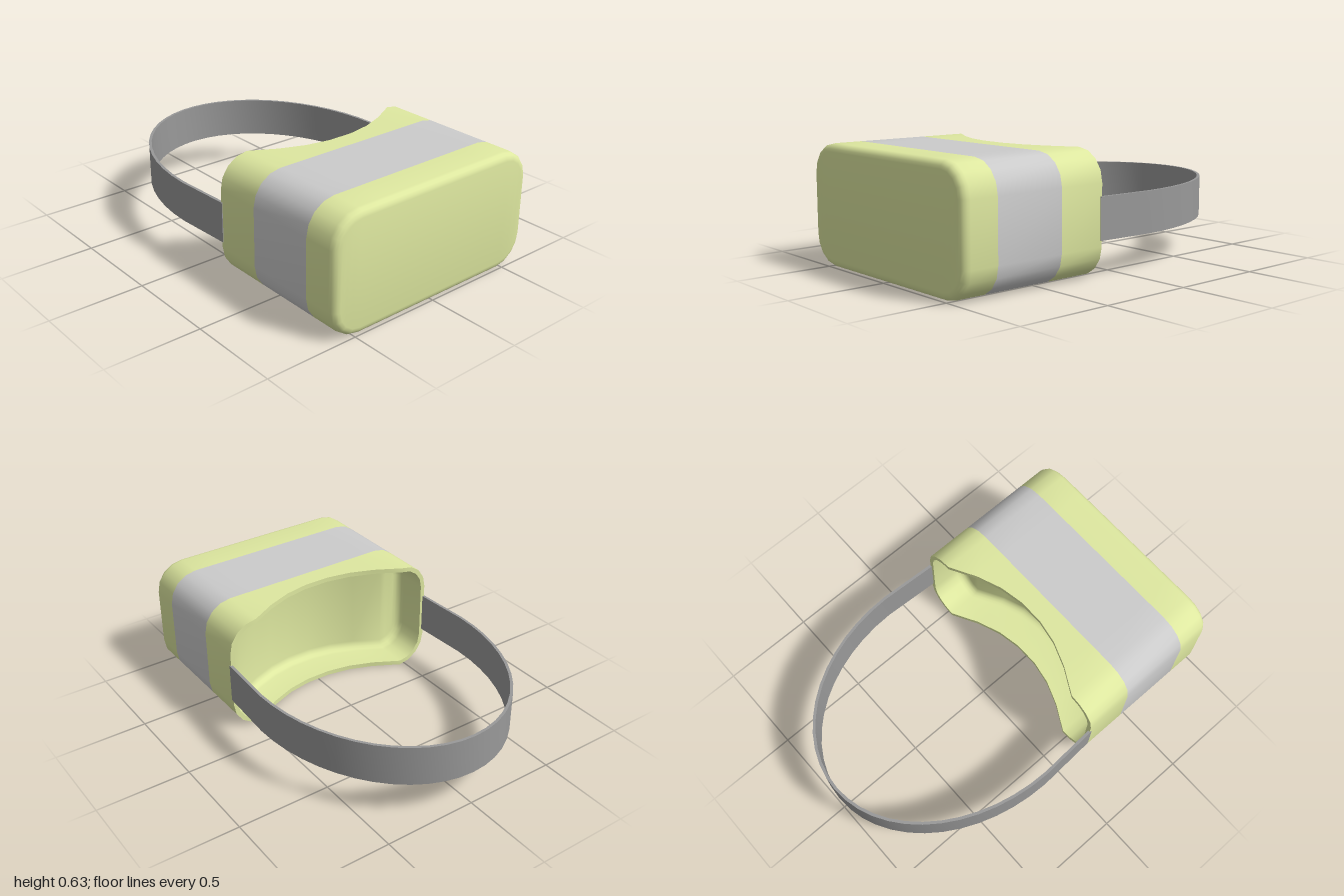
import * as THREE from 'three';
import { toCreasedNormals } from 'three/addons/utils/BufferGeometryUtils.js';

const HALF_W = 0.63, HALF_H = 0.315, RADIUS = 0.16;
const material = (color) => new THREE.MeshStandardMaterial({ color });

// Rear edge: straight at the sides, with a circular scoop for the face
function rearZ(x) {
  const R = 0.74, ax = Math.abs(x);
  return ax >= 0.46 ? 0.17 : 0.325 - R + Math.sqrt(R * R - ax * ax);
}

// Rounded-rectangle ring; the upper half is mirrored to form the lower half
function ring(inset, z) {
  const r = RADIUS - inset, cx = HALF_W - RADIUS, cy = HALF_H - RADIUS;
  const upper = [];
  for (let k = 0; k <= 4; k++) {
    const a = (k / 4) * Math.PI / 2;
    upper.push([cx + r * Math.cos(a), cy + r * Math.sin(a)]);
  }
  for (const x of [0.33, 0.2, 0.07, -0.07, -0.2, -0.33]) upper.push([x, cy + r]);
  for (let k = 0; k <= 4; k++) {
    const a = (1 + k / 4) * Math.PI / 2;
    upper.push([-cx + r * Math.cos(a), cy + r * Math.sin(a)]);
  }
  const lower = upper.map(([x, y]) => [x, -y]).reverse();
  return [...upper, ...lower].map(([x, y]) =>
    [x, y + HALF_H, typeof z === 'function' ? z(x) : z]);
}

// Skin a list of rings, optionally closing the first or last one
function loft(rings, { capStart = false, capEnd = false } = {}) {
  const n = rings[0].length, index = [];
  const quad = (a, b, c, d) => index.push(a, b, c, a, c, d);
  for (let k = 0; k < rings.length - 1; k++) {
    for (let i = 0; i < n; i++) {
      const j = (i + 1) % n;
      quad(k * n + i, (k + 1) * n + i, (k + 1) * n + j, k * n + j);
    }
  }
  const last = (rings.length - 1) * n;
  for (let i = 0; i < n / 2 - 1; i++) {
    const a = i, b = i + 1, c = n - 2 - i, d = n - 1 - i;
    if (capStart) quad(a, b, c, d);
    if (capEnd) quad(last + d, last + c, last + b, last + a);
  }
  const g = new THREE.BufferGeometry();
  g.setAttribute('position', new THREE.Float32BufferAttribute(rings.flat(2), 3));
  g.setIndex(index);
  return toCreasedNormals(g, 0.65);
}

// Quarter-round steps from a wall into a flat face
const fillet = (r, steps, make) =>
  Array.from({ length: steps + 1 }, (_, k) => {
    const a = (k / steps) * Math.PI / 2;
    return make(r * (1 - Math.cos(a)), r * (1 - Math.sin(a)));
  });

// Head strap: thin elliptical band swept behind the housing
function strapGeometry() {
  const side = (a, b, endX) => {
    const pts = [new THREE.Vector2(endX, -0.18)];
    for (let k = 0; k <= 26; k++) {
      const t = (k / 26) * Math.PI;
      pts.push(new THREE.Vector2(a * Math.cos(t), 0.14 + b * Math.sin(t)));
    }
    pts.push(new THREE.Vector2(-endX, -0.18));
    return pts;
  };
  const shape = new THREE.Shape([
    ...side(0.65, 0.86, 0.634), ...side(0.635, 0.845, 0.619).reverse()]);
  const g = new THREE.ExtrudeGeometry(shape, { depth: 0.215, bevelEnabled: false });
  g.rotateX(-Math.PI / 2).translate(0, 0.19, 0);
  return toCreasedNormals(g, 0.6);
}

export function createModel() {
  const model = new THREE.Group();
  model.name = 'headset';
  const green = material(0xdee8a0), grey = material(0xcccccc), dark = material(0x999999);
  const add = (name, geometry, mat) => {
    const mesh = new THREE.Mesh(geometry, mat);
    mesh.name = name;
    model.add(mesh);
  };

  // Front shell with rounded face edge
  const frontRings = fillet(0.04, 4, (inset, back) => ring(inset, 1 - 0.04 + (0.04 - back))).reverse();
  add('frontShell', loft([...frontRings, ring(0, 0.81)], { capStart: true }), green);

  // Band around the middle
  add('middleBand', loft([ring(0, 0.81), ring(0, 0.43)]), grey);

  // Rear shell, rim and the hollow with its curved floor
  const depth = 0.2, round = 0.045, wall = 0.025;
  const hollow = fillet(round, 4, (inset, back) =>
    ring(wall + inset, (x) => rearZ(x) + depth - back));
  add('rearShell', loft([
    ring(0, 0.43),
    ring(0, rearZ),
    ring(wall, rearZ),
    ...hollow,
  ], { capEnd: true }), green);

  add('headStrap', strapGeometry(), dark);
  return model;
}
